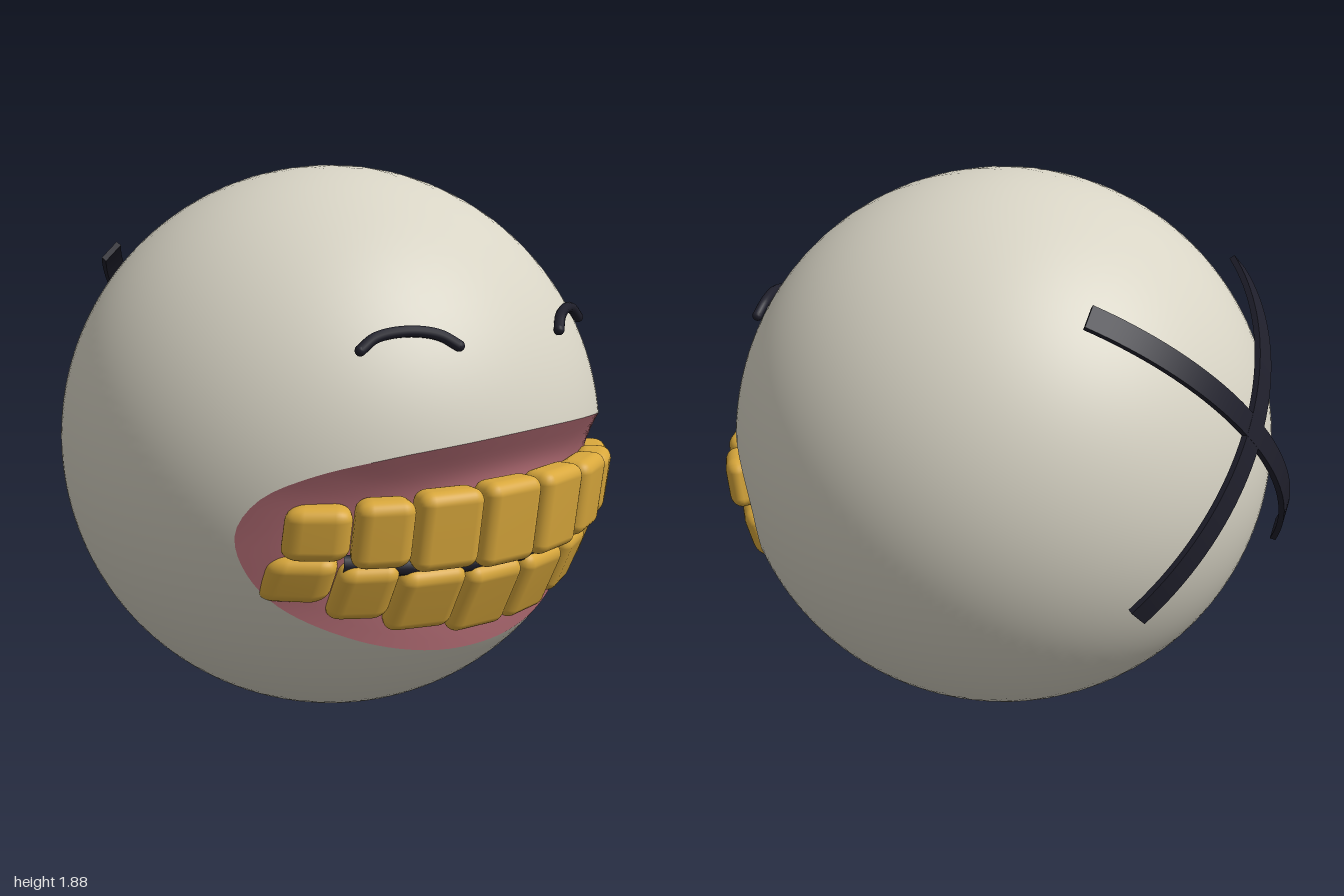
import * as THREE from 'three';
import { mergeVertices } from 'three/addons/utils/BufferGeometryUtils.js';
import { RoundedBoxGeometry } from 'three/addons/geometries/RoundedBoxGeometry.js';

const R = 0.94;
const CENTER = new THREE.Vector3(0, R, 0.02);

// Unit direction from the head centre to the front point (x, y) on a sphere of radius r
function frontDir(x, y, r = R) {
  const dy = y - CENTER.y;
  return new THREE.Vector3(x, dy, Math.sqrt(Math.max(0, r * r - x * x - dy * dy))).normalize();
}
const onHead = (dir, r) => dir.clone().multiplyScalar(r).add(CENTER);

// Surface from closed rings of points: point(i, j) for ring i, position j
function ringSurface(rings, count, point, inward) {
  const pos = [], index = [];
  for (let i = 0; i <= rings; i++)
    for (let j = 0; j < count; j++) pos.push(...point(i, j).toArray());
  for (let i = 0; i < rings; i++)
    for (let j = 0; j < count; j++) {
      const k = (j + 1) % count;
      const a = i * count + j, b = i * count + k, c = a + count, d = b + count;
      if (inward) index.push(a, c, b, b, c, d);
      else index.push(a, b, c, b, d, c);
    }
  const g = new THREE.BufferGeometry();
  g.setAttribute('position', new THREE.Float32BufferAttribute(pos, 3));
  g.setIndex(index);
  g.computeVertexNormals();
  return g;
}

// Move every vertex of a geometry by a rule
function warp(g, rule) {
  const p = g.attributes.position;
  for (let i = 0; i < p.count; i++) {
    const v = rule(p.getX(i), p.getY(i), p.getZ(i));
    p.setXYZ(i, v.x, v.y, v.z);
  }
  g.computeVertexNormals();
  return g;
}

// Tooth: rounded block bent around the head
function toothGeometry(x0, x1, y0, y1, r) {
  const depth = 0.12, w = x1 - x0, h = y1 - y0;
  let g = new RoundedBoxGeometry(w, h, depth, 4, 0.042);
  g.deleteAttribute('normal');
  g.deleteAttribute('uv');
  g.clearGroups();
  g = mergeVertices(g, 1e-5);
  return warp(g, (x, y, z) =>
    onHead(frontDir(x + (x0 + x1) / 2, y + (y0 + y1) / 2, r), r - depth / 2 + z));
}

// Strap: thin band following an arc between two directions
function strapGeometry(from, to) {
  const a = from.clone().normalize(), b = to.clone().normalize();
  const axis = a.clone().cross(b).normalize(), angle = a.angleTo(b);
  return warp(new THREE.BoxGeometry(1, 0.08, 0.02, 40, 1, 1), (x, y, z) =>
    onHead(a.clone().applyAxisAngle(axis, (x + 0.5) * angle), 1.015 + z).addScaledVector(axis, y));
}

export function createModel() {
  const model = new THREE.Group();
  const material = (name, color, side = THREE.FrontSide) =>
    Object.assign(new THREE.MeshStandardMaterial({ color, side }), { name });
  const bone = material('bone', 0xd8d4c5, THREE.DoubleSide);
  const gumPink = material('gumPink', 0xb16b73, THREE.DoubleSide);
  const gold = material('gold', 0xd9a83c);
  const dark = material('dark', 0x1f1f2b);
  const add = (name, geometry, mat, parent = model) => {
    const mesh = new THREE.Mesh(geometry, mat);
    mesh.name = name;
    parent.add(mesh);
    return mesh;
  };

  // Mouth outline, clockwise from the top
  const half = [[0, 1.1], [0.25, 1.09], [0.5, 1.06], [0.68, 1.01], [0.78, 0.94], [0.82, 0.83],
    [0.79, 0.7], [0.7, 0.575], [0.5, 0.455], [0.25, 0.38], [0, 0.36]];
  const mirrored = half.slice(1, -1).reverse().map(([x, y]) => [-x, y]);
  const N = 120;
  const outline = new THREE.CatmullRomCurve3(
    [...half, ...mirrored].map(([x, y]) => new THREE.Vector3(x, y, 0)), true).getSpacedPoints(N).slice(0, N);
  const mouthY = 0.76;

  // Head: sphere with an open mouth, from the lips to the back
  const back = frontDir(0, mouthY).negate();
  const rings = 48;
  const head = ringSurface(rings, N, (i, j) => {
    const o = frontDir(outline[j].x, outline[j].y);
    const axis = o.clone().cross(back).normalize();
    return onHead(o.clone().applyAxisAngle(axis, o.angleTo(back) * i / rings), R);
  });
  const hp = head.attributes.position, hn = head.attributes.normal;
  for (let i = 0; i < hp.count; i++) {
    const n = new THREE.Vector3().fromBufferAttribute(hp, i).sub(CENTER).normalize();
    hn.setXYZ(i, n.x, n.y, n.z);
  }
  add('head', head, bone);

  // Gums: dished surface inside the lips
  add('gums', ringSurface(16, N, (i, j) => {
    const t = i / 16, s = 1 - t;
    const dir = frontDir(outline[j].x * s, mouthY + (outline[j].y - mouthY) * s);
    return onHead(dir, R - 0.08 * Math.sin(Math.min(1, t / 0.45) * Math.PI / 2));
  }, true), gumPink);

  // Teeth: [x0, x1, lower bottom, lower top, upper bottom, upper top]
  const teeth = [
    [0.004, 0.232, 0.432, 0.672, 0.676, 0.962],
    [0.238, 0.45, 0.468, 0.686, 0.69, 0.954],
    [0.456, 0.616, 0.522, 0.712, 0.712, 0.936],
    [0.622, 0.772, 0.585, 0.74, 0.74, 0.916],
  ];
  const upper = new THREE.Group(), lower = new THREE.Group();
  upper.name = 'upperTeeth';
  lower.name = 'lowerTeeth';
  model.add(upper, lower);
  for (const side of [1, -1])
    for (const [x0, x1, l0, l1, u0, u1] of teeth) {
      const [a, b] = side > 0 ? [x0, x1] : [-x1, -x0];
      add('upperTooth', toothGeometry(a, b, u0, u1, 0.982), gold, upper);
      add('lowerTooth', toothGeometry(a, b, l0, l1, 0.957), gold, lower);
    }

  // Dark gap between the rows
  const gap = [-0.6, -0.45, -0.25, 0, 0.25, 0.45, 0.6].map(x =>
    onHead(frontDir(x, 0.675 + 0.1 * x * x), 0.9));
  add('mouthGap', new THREE.TubeGeometry(new THREE.CatmullRomCurve3(gap), 48, 0.03, 8), dark);

  // Smiling eyes with round ends
  for (const side of [1, -1]) {
    const eye = new THREE.Group();
    eye.name = side > 0 ? 'leftEye' : 'rightEye';
    model.add(eye);
    const pts = [[0.24, 1.376], [0.29, 1.41], [0.38, 1.425], [0.47, 1.41], [0.52, 1.376]]
      .map(([x, y]) => onHead(frontDir(side * x, y, 0.958), 0.958));
    add('eyeArc', new THREE.TubeGeometry(new THREE.CatmullRomCurve3(pts), 32, 0.018, 10), dark, eye);
    for (const p of [pts[0], pts[4]])
      add('eyeTip', new THREE.SphereGeometry(0.018, 12, 8), dark, eye).position.copy(p);
  }

  // Crossed straps at the back
  for (const side of [1, -1])
    add('backStrap', strapGeometry(new THREE.Vector3(side * 0.45, 0.63, -0.66),
      new THREE.Vector3(-side * 0.45, -0.3, -0.86)), dark);

  return model;
}
